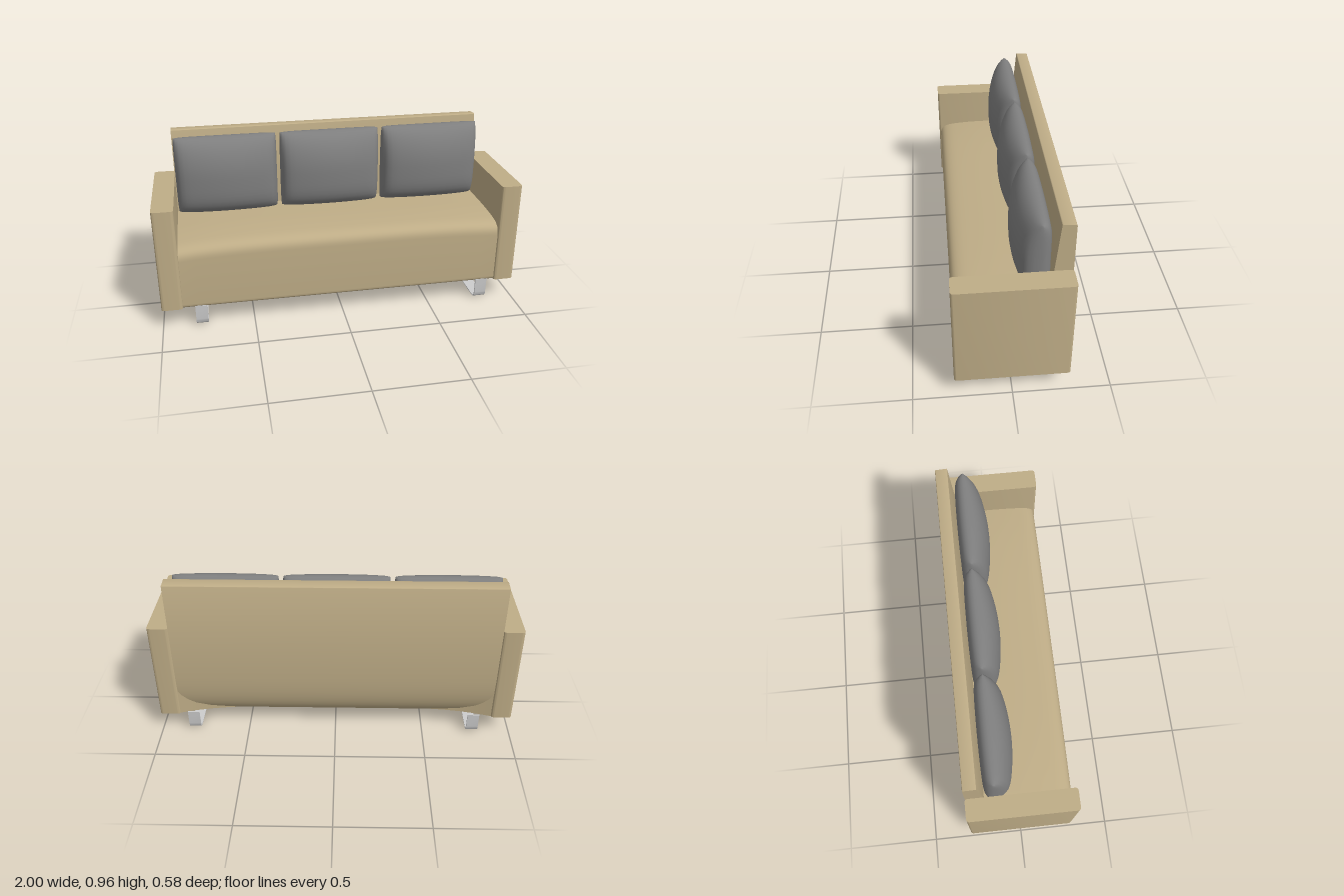
import * as THREE from 'three';
import { mergeGeometries, mergeVertices, toCreasedNormals } from 'three/addons/utils/BufferGeometryUtils.js';

const fabric = new THREE.MeshStandardMaterial({ color: 0xbfad87 });
fabric.name = 'beige fabric';
const cushionFabric = new THREE.MeshStandardMaterial({ color: 0x7f7f7f, side: THREE.DoubleSide });
cushionFabric.name = 'grey fabric';
const metal = new THREE.MeshStandardMaterial({ color: 0xcdcdcd });
metal.name = 'light metal';

const INNER = 0.885; // half width between the arms

// Moves every vertex by a rule working on a Vector3
function deform(geo, rule) {
  const pos = geo.attributes.position;
  const p = new THREE.Vector3();
  for (let i = 0; i < pos.count; i++) {
    p.fromBufferAttribute(pos, i);
    rule(p);
    pos.setXYZ(i, p.x, p.y, p.z);
  }
  return geo;
}

// Sweeps a (z, y) profile across x, centred on x = 0
function sweepX(shape, width, steps = 1) {
  const geo = new THREE.ExtrudeGeometry(shape, { depth: width, steps, bevelEnabled: false, curveSegments: 8 });
  return geo.rotateY(-Math.PI / 2).translate(width / 2, 0, 0);
}

function add(parent, name, geo, material) {
  const mesh = new THREE.Mesh(geo, material);
  mesh.name = name;
  parent.add(mesh);
  return mesh;
}

// Upholstered seat: rolled front edge, crowned top, back edge curving in at the middle
function seatGeometry() {
  const s = new THREE.Shape();
  s.moveTo(-0.28, 0.118);
  s.lineTo(0.265, 0.118);
  s.quadraticCurveTo(0.282, 0.118, 0.282, 0.14);
  s.lineTo(0.282, 0.42);
  s.bezierCurveTo(0.282, 0.465, 0.26, 0.485, 0.2, 0.493);
  s.quadraticCurveTo(0.1, 0.503, 0, 0.503);
  s.lineTo(-0.28, 0.503);
  const geo = deform(sweepX(s, INNER * 2, 20), (p) => {
    const u = Math.abs(p.x / INNER);
    if (p.y > 0.4) p.y -= 0.02 * u ** 4;
    if (p.z < -0.2) p.z = -0.21 - 0.07 * u ** 4;
  });
  return toCreasedNormals(geo, 0.6);
}

// Back panel: leaning front face, flat rear that rolls under at the bottom
function backGeometry() {
  const s = new THREE.Shape();
  s.moveTo(-0.19, 0.12);
  s.lineTo(-0.195, 0.69);
  s.lineTo(-0.22, 0.961);
  s.quadraticCurveTo(-0.221, 0.965, -0.225, 0.965);
  s.lineTo(-0.283, 0.96);
  s.quadraticCurveTo(-0.288, 0.96, -0.288, 0.954);
  s.lineTo(-0.288, 0.42);
  s.bezierCurveTo(-0.288, 0.28, -0.275, 0.18, -0.222, 0.12);
  return toCreasedNormals(sweepX(s, INNER * 2), 0.6);
}

// Arm block with softened vertical edges
function armGeometry() {
  const w = 0.0575, d = 0.29, r = 0.018;
  const s = new THREE.Shape();
  s.moveTo(-w + r, -d);
  s.lineTo(w - r, -d);
  s.quadraticCurveTo(w, -d, w, -d + r);
  s.lineTo(w, d - r);
  s.quadraticCurveTo(w, d, w - r, d);
  s.lineTo(-w + r, d);
  s.quadraticCurveTo(-w, d, -w, d - r);
  s.lineTo(-w, -d + r);
  s.quadraticCurveTo(-w, -d, -w + r, -d);
  const geo = new THREE.ExtrudeGeometry(s, { depth: 0.58, bevelEnabled: false, curveSegments: 6 });
  return toCreasedNormals(geo.rotateX(-Math.PI / 2).translate(0, 0.118, 0), 0.6);
}

// Plump cushion: two bulging sheets meeting at a seam, deeper at the front
function cushionGeometry() {
  const sheet = (sign) => {
    const geo = new THREE.PlaneGeometry(2, 2, 20, 20);
    if (sign < 0) geo.rotateY(Math.PI);
    return deform(geo, (p) => {
      const u = Math.sin(p.x * Math.PI / 2), v = Math.sin(p.y * Math.PI / 2);
      const side = Math.sqrt(Math.max(0, 1 - Math.abs(u) ** 16));
      const power = sign < 0 ? 6 : v > 0 ? 2 : 4;
      const height = Math.sqrt(Math.max(0, 1 - Math.abs(v) ** power));
      const depth = sign > 0 ? 0.12 * (1 - 0.34 * u * u) : 0.055 * (1 - 0.1 * u * u);
      p.set(u * 0.284 * (1 - 0.015 * v ** 8), v * 0.222 * (1 - 0.015 * u ** 8), sign * depth * side * height);
    });
  };
  const geo = mergeGeometries([sheet(1), sheet(-1)]);
  geo.deleteAttribute('uv');
  geo.deleteAttribute('normal');
  const welded = mergeVertices(geo, 1e-4);
  welded.computeVertexNormals();
  return welded;
}

// Flat metal strap bent into a sled leg
function legGeometry() {
  const s = new THREE.Shape();
  s.moveTo(-0.282, 0.125);
  s.lineTo(-0.28, 0.04);
  s.bezierCurveTo(-0.278, 0.008, -0.265, 0, -0.22, 0);
  s.lineTo(0.22, 0);
  s.bezierCurveTo(0.265, 0, 0.278, 0.008, 0.28, 0.04);
  s.lineTo(0.282, 0.125);
  s.lineTo(0.274, 0.125);
  s.lineTo(0.272, 0.04);
  s.bezierCurveTo(0.27, 0.012, 0.262, 0.005, 0.22, 0.005);
  s.lineTo(-0.22, 0.005);
  s.bezierCurveTo(-0.262, 0.005, -0.27, 0.012, -0.272, 0.04);
  s.lineTo(-0.274, 0.125);
  return toCreasedNormals(sweepX(s, 0.066), 0.6);
}

export function createModel() {
  const sofa = new THREE.Group();
  sofa.name = 'sofa';

  add(sofa, 'seat', seatGeometry(), fabric);
  add(sofa, 'backPanel', backGeometry(), fabric);

  const arm = armGeometry();
  add(sofa, 'leftArm', arm, fabric).position.x = 0.9425;
  add(sofa, 'rightArm', arm, fabric).position.x = -0.9425;

  const cushion = cushionGeometry();
  ['rightCushion', 'middleCushion', 'leftCushion'].forEach((name, i) => {
    add(sofa, name, cushion, cushionFabric).position.set(-0.593 + i * 0.587, 0.724, -0.14);
  });

  const leg = legGeometry();
  add(sofa, 'leftLeg', leg, metal).position.x = 0.812;
  add(sofa, 'rightLeg', leg, metal).position.x = -0.787;

  return sofa;
}
